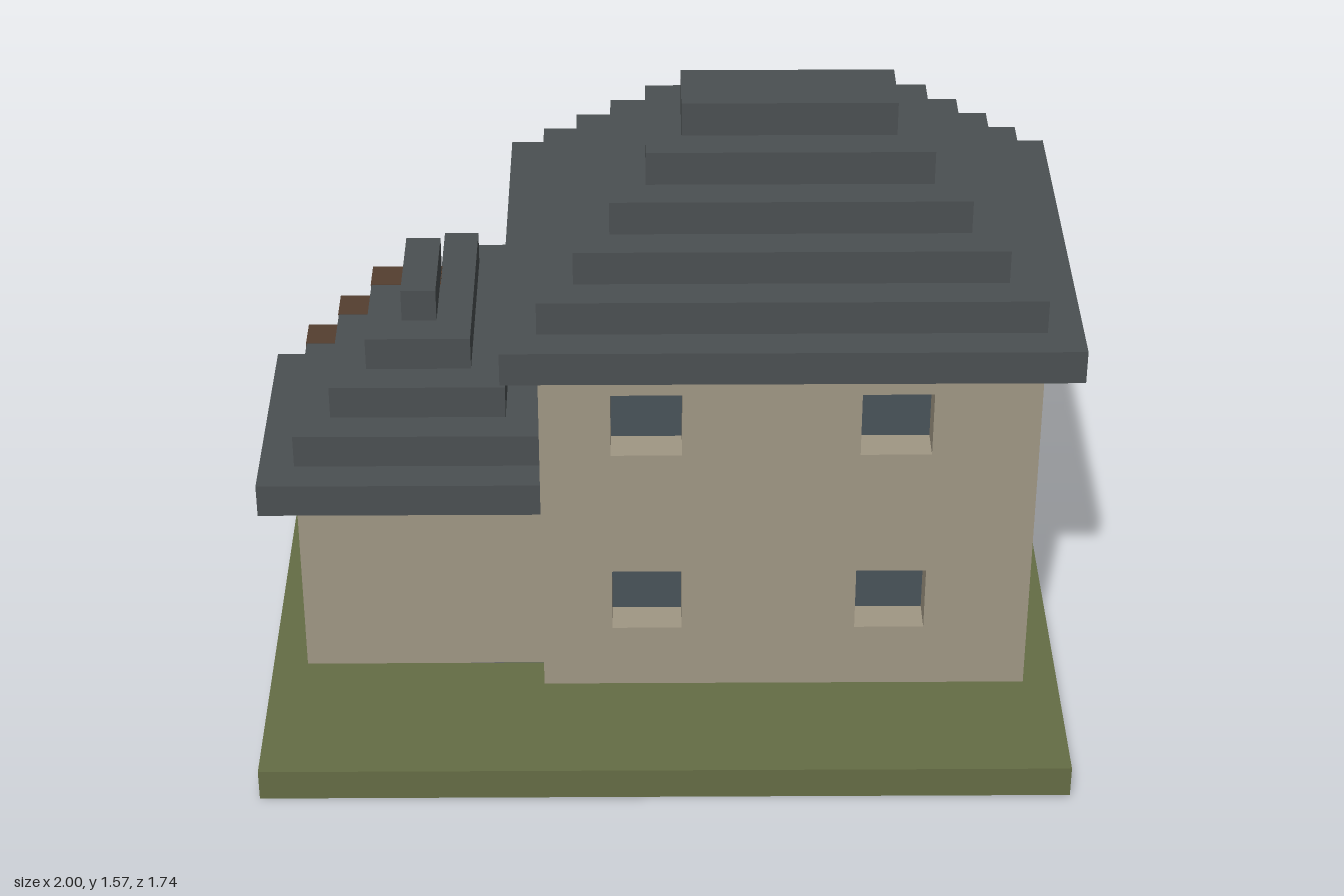
import * as THREE from 'three';

const V = 2 / 23; // size of one building block

const mat = (name, color) => {
  const m = new THREE.MeshStandardMaterial({ color });
  m.name = name;
  return m;
};

export function createModel() {
  const wall = mat('beige wall', 0xa09784);
  const slate = mat('dark slate', 0x4b5052);
  const glass = mat('dark glass', 0x49535a);
  const grass = mat('grass green', 0x656d45);
  const paving = mat('grey paving', 0x6b6d6b);
  const wood = mat('brown wood', 0x543f30);

  const model = new THREE.Group();
  model.name = 'house';
  // Everything is laid out in whole blocks, then scaled and centred
  const blocks = new THREE.Group();
  blocks.name = 'blocks';
  blocks.scale.setScalar(V);
  blocks.position.set(-1, 0, -10 * V);
  model.add(blocks);

  const add = (name, geometry, material) => {
    const mesh = new THREE.Mesh(geometry, material);
    mesh.name = name;
    blocks.add(mesh);
    return mesh;
  };

  // Box spanning x0..x1, y0..y1, z0..z1, optionally grown by g
  const box = (name, material, x0, x1, y0, y1, z0, z1, g = 0) => {
    const b = add(name, new THREE.BoxGeometry(x1 - x0 + 2 * g, y1 - y0 + 2 * g, z1 - z0 + 2 * g), material);
    b.position.set((x0 + x1) / 2, (y0 + y1) / 2, (z0 + z1) / 2);
    return b;
  };

  const rect = (Type, a0, a1, b0, b1) => {
    const p = new Type();
    p.moveTo(a0, b0);
    p.lineTo(a1, b0);
    p.lineTo(a1, b1);
    p.lineTo(a0, b1);
    p.closePath();
    return p;
  };

  // One block thick wall with openings [a0, a1, y0, y1]
  const panel = (name, axis, at, a0, a1, top, openings) => {
    const s = rect(THREE.Shape, a0, a1, 0.5, top);
    for (const o of openings) s.holes.push(rect(THREE.Path, ...o));
    const geo = new THREE.ExtrudeGeometry(s, { depth: 1, bevelEnabled: false });
    if (axis === 'x') {
      geo.applyMatrix4(new THREE.Matrix4().makeBasis(
        new THREE.Vector3(0, 0, 1), new THREE.Vector3(0, 1, 0), new THREE.Vector3(-1, 0, 0)));
      geo.translate(at + 1, 0, 0);
    } else geo.translate(0, 0, at);
    add(name, geo, wall);
  };

  // Ground, with paving set into the lawn
  box('lawn', grass, 0, 23, 0.02, 0.98, 0, 20);
  box('mainFloor', paving, 8, 22, 0, 1, 6, 16);
  box('wingFloor', paving, 1, 8, 0, 1, 5, 15);
  box('driveway', paving, 1, 8, 0, 1, -0.01, 5);
  box('sidePath', paving, 8, 14, 0, 1, 3, 4);
  box('doorPath', paving, 14, 16, 0, 1, -0.01, 6);

  // Main house: walls around a dark core that shows through the windows
  const low = a => [a, a + 2, 3, 5];
  const high = a => [a, a + 2, 9, 11];
  box('mainWindowGlass', glass, 9, 21, 0.5, 11.5, 7, 15);
  panel('mainFrontWall', 'z', 15, 8, 22, 12, [low(10), low(17), high(10), high(17)]);
  panel('mainBackWall', 'z', 6, 8, 22, 12,
    [low(10), low(18), [14, 16, 1, 4], high(10), high(14), high(18)]);
  panel('mainLeftWall', 'x', 21, 7, 15, 12, [low(8), low(12), high(8), high(12)]);
  panel('mainRightWall', 'x', 8, 7, 15, 12, [high(8), high(12)]);
  box('door', wood, 14, 16, 1, 4, 6.92, 7);
  for (const x of [9, 12, 13, 16, 17, 20]) box('shutter', slate, x, x + 1, 9, 11, 5.95, 6.02);

  // Stepped main roof
  for (let n = 0; n < 6; n++) box('mainRoof', slate, 7 + n, 23 - n, 12 + n, 13 + n, 5 + n, 17 - n);

  // Garage wing with an open corner terrace
  box('garageInterior', glass, 2, 8, 0.5, 5, 6, 14);
  panel('wingBackWall', 'z', 5, 1, 8, 6, [[3, 7, 1, 2]]);
  panel('wingFrontWall', 'z', 14, 1, 8, 6, []);
  panel('wingRightWall', 'x', 1, 6, 14, 6, [[11, 13, 3, 5]]);
  box('terraceFloor', wall, 2, 8, 5, 6, 6, 14);
  box('wingUpperWall', wall, 1, 8, 6, 7, 8, 15);
  box('wingUpperWall', wall, 4, 8, 6, 7, 5, 8);

  // Stepped wing roof, left out over the terrace corner
  for (let n = 0; n < 5; n++) {
    const x1 = Math.min(9 - n, 8);
    box('wingRoof', slate, n, x1, 7 + n, 8 + n, 9, 16 - n);
    if (n < 4) box('wingRoof', slate, 5, x1, 7 + n, 8 + n, 4 + n, 9);
  }
  box('wingRoofEnd', slate, 8, 9, 7, 8, 4, 6);

  // Wooden trim on the cut edges of the wing roof
  for (const [x, y, z] of [[1, 8, 9], [2, 9, 9], [3, 10, 9], [4, 10, 9], [5, 7, 4], [5, 8, 7]])
    box('roofTrim', wood, x, x + 1, y, y + 1, z, z + 1, 0.02);

  // Porch
  for (const x of [13, 16]) box('porchPost', wall, x, x + 1, 1, 5, 3, 4);
  box('porchRoof', slate, 12, 18, 5, 6, 2, 6);
  box('porchRoof', slate, 13, 17, 6, 7, 3, 6);

  // Hedges along the back wall
  for (const x of [9, 18]) box('hedge', grass, x, x + 3, 0.9, 2, 5, 6);

  return model;
}
